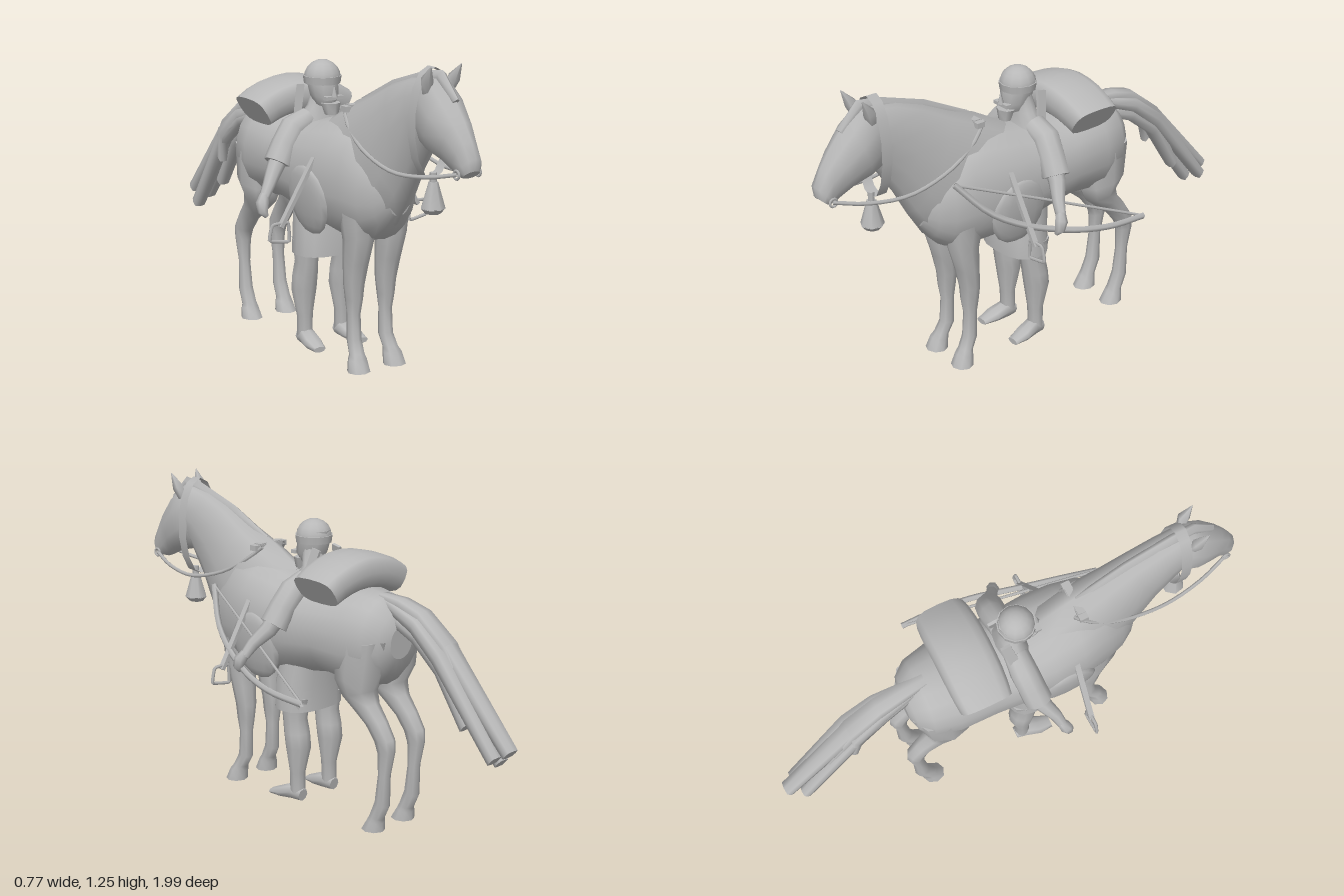
import * as THREE from 'three';

const grey = new THREE.MeshStandardMaterial({ color: 0xb8b8b8, side: THREE.DoubleSide });
grey.name = 'plain grey';
const V = (x, y, z) => new THREE.Vector3(x, y, z);
const bend = (q, p) => Math.sign(q) * Math.abs(q) ** p;

// Closed skin through rings given as { c, u, v } (centre and two half axes); power < 1 squares the ring
function skin(rings, sides, power = 1) {
  const pos = [], idx = [], n = rings.length;
  rings.forEach((r, i) => {
    const dir = rings[Math.min(i + 1, n - 1)].c.clone().sub(rings[Math.max(i - 1, 0)].c);
    const s = r.u.clone().cross(r.v).dot(dir) < 0 ? -1 : 1;
    for (let j = 0; j < sides; j++) {
      const t = (j / sides) * Math.PI * 2;
      const p = r.c.clone().addScaledVector(r.u, bend(Math.cos(t), power))
        .addScaledVector(r.v, s * bend(Math.sin(t), power));
      pos.push(p.x, p.y, p.z);
    }
  });
  for (let i = 0; i < n - 1; i++) for (let j = 0; j < sides; j++) {
    const a = i * sides + j, b = i * sides + (j + 1) % sides;
    idx.push(a, b, a + sides, b, b + sides, a + sides);
  }
  // End caps with their own corners
  [0, n - 1].forEach((k) => {
    const base = pos.length / 3;
    pos.push(...pos.slice(k * sides * 3, (k + 1) * sides * 3));
    for (let j = 1; j < sides - 1; j++) {
      if (k) idx.push(base, base + j, base + j + 1);
      else idx.push(base, base + j + 1, base + j);
    }
  });
  const g = new THREE.BufferGeometry();
  g.setAttribute('position', new THREE.Float32BufferAttribute(pos, 3));
  g.setIndex(idx);
  g.computeVertexNormals();
  return g;
}

// Rings given by two opposite side points: [x, z1, y1, z2, y2, halfWidth]
const profile = (list, sides = 12, power = 1) => skin(list.map(([x, z1, y1, z2, y2, w]) => ({
  c: V(x, (y1 + y2) / 2, (z1 + z2) / 2),
  u: V(0, (y1 - y2) / 2, (z1 - z2) / 2),
  v: V(w, 0, 0),
})), sides, power);

// Round limb through [x, y, z, radius]
const limb = (list, sides = 8) => skin(list.map(([x, y, z, r], i) => {
  const a = list[Math.max(i - 1, 0)], b = list[Math.min(i + 1, list.length - 1)];
  const t = V(b[0] - a[0], b[1] - a[1], b[2] - a[2]).normalize();
  const u = V(0, 0, 1).cross(t).normalize();
  return { c: V(x, y, z), u: u.clone().multiplyScalar(r), v: t.cross(u).multiplyScalar(r) };
}), sides);

const tube = (pts, r, seg = 14, closed = false, tension = 0.5) => new THREE.TubeGeometry(
  new THREE.CatmullRomCurve3(pts.map((p) => V(...p)), closed, 'catmullrom', tension), seg, r, 5, closed);

export function createModel() {
  const model = new THREE.Group();
  const add = (name, geo, x = 0, y = 0, z = 0, rx = 0, ry = 0, rz = 0) => {
    const m = new THREE.Mesh(geo, grey);
    m.name = name;
    m.position.set(x, y, z);
    m.rotation.set(rx, ry, rz);
    model.add(m);
    return m;
  };

  // Horse trunk, rump to chest
  add('horseBody', profile([
    [0, -0.442, 0.82, -0.437, 0.69, 0.06], [0, -0.425, 0.875, -0.415, 0.625, 0.115],
    [0, -0.37, 0.925, -0.37, 0.575, 0.158], [0, -0.27, 0.94, -0.27, 0.555, 0.183],
    [0, -0.12, 0.92, -0.12, 0.575, 0.185], [0, 0.0, 0.92, 0.0, 0.555, 0.19],
    [0, 0.14, 0.95, 0.14, 0.525, 0.197], [0, 0.27, 0.97, 0.27, 0.508, 0.188],
    [0, 0.38, 0.97, 0.38, 0.508, 0.165], [0, 0.46, 0.9, 0.46, 0.53, 0.137],
    [0, 0.525, 0.84, 0.51, 0.58, 0.1], [0, 0.565, 0.78, 0.55, 0.64, 0.05]], 18, 0.92));
  add('horseNeck', profile([
    [0, 0.12, 0.95, 0.42, 0.55, 0.14], [0, 0.27, 1.035, 0.53, 0.6, 0.125],
    [0, 0.4, 1.09, 0.6, 0.71, 0.105], [0, 0.52, 1.15, 0.66, 0.82, 0.088],
    [0, 0.64, 1.19, 0.72, 0.91, 0.077], [0, 0.76, 1.21, 0.75, 0.96, 0.07]]));
  add('horseHead', profile([
    [0, 0.7, 1.2, 0.69, 1.03, 0.05], [0, 0.79, 1.21, 0.71, 0.95, 0.08],
    [0, 0.86, 1.15, 0.765, 0.925, 0.085], [0, 0.93, 1.065, 0.84, 0.905, 0.066],
    [0, 0.97, 1.005, 0.89, 0.88, 0.049], [0, 0.998, 0.945, 0.93, 0.865, 0.047],
    [0, 0.992, 0.9, 0.955, 0.867, 0.035]], 10));
  add('mane', profile([
    [0, 0.3, 1.05, 0.33, 1.0, 0.015], [0, 0.5, 1.15, 0.53, 1.1, 0.02],
    [0, 0.7, 1.215, 0.7, 1.15, 0.022], [0, 0.8, 1.23, 0.78, 1.17, 0.022],
    [0, 0.89, 1.14, 0.86, 1.11, 0.014]], 6));

  for (const s of [1, -1]) {
    // Ears
    add('ear', limb([[s * 0.05, 1.15, 0.77, 0.018], [s * 0.06, 1.195, 0.785, 0.025],
      [s * 0.068, 1.25, 0.82, 0.002]], 5));
    // Front legs
    const x = s * 0.075;
    add('frontLeg', profile([
      [s * 0.08, 0.47, 0.66, 0.3, 0.66, 0.07], [x, 0.46, 0.54, 0.325, 0.52, 0.06],
      [x, 0.425, 0.43, 0.325, 0.42, 0.052], [x, 0.405, 0.34, 0.32, 0.34, 0.042],
      [x, 0.402, 0.28, 0.325, 0.28, 0.034], [x, 0.39, 0.22, 0.335, 0.22, 0.027],
      [x, 0.398, 0.12, 0.335, 0.11, 0.028], [s * 0.08, 0.42, 0.07, 0.365, 0.06, 0.032],
      [s * 0.083, 0.435, 0.05, 0.367, 0.04, 0.04], [s * 0.085, 0.458, 0, 0.37, 0, 0.047]], 8));
    // Hind legs
    const h = s * 0.085;
    add('hindLeg', profile([
      [s * 0.085, -0.19, 0.74, -0.435, 0.77, 0.085], [s * 0.09, -0.2, 0.59, -0.41, 0.63, 0.085],
      [h, -0.235, 0.525, -0.375, 0.565, 0.068], [h, -0.295, 0.475, -0.39, 0.515, 0.05],
      [h, -0.35, 0.43, -0.44, 0.455, 0.04], [h, -0.393, 0.375, -0.482, 0.39, 0.036],
      [h, -0.41, 0.33, -0.485, 0.34, 0.032], [h, -0.413, 0.24, -0.463, 0.24, 0.025],
      [h, -0.398, 0.13, -0.46, 0.11, 0.029], [h, -0.375, 0.07, -0.43, 0.05, 0.032],
      [h, -0.365, 0.05, -0.43, 0.035, 0.038], [h, -0.333, 0, -0.43, 0, 0.045]], 8));
    // Reins
    add('rein', tube([[s * 0.045, 0.885, 0.95], [s * 0.085, 0.855, 0.82], [s * 0.11, 0.845, 0.65],
      [s * 0.11, 0.89, 0.47], [s * 0.09, 0.96, 0.34], [s * 0.06, 1.02, 0.27]], 0.008, 16));
    add('bitRing', new THREE.TorusGeometry(0.016, 0.005, 5, 10), s * 0.048, 0.885, 0.95, 0, Math.PI / 2, 0);
    // Saddle flaps
    const flap = add('saddleFlap', new THREE.SphereGeometry(1, 12, 8), s * 0.172, 0.65, 0.19, 0, 0, s * -0.15);
    flap.scale.set(0.028, 0.14, 0.13);
    // Stirrups on slanted straps
    add('stirrupStrap', new THREE.BoxGeometry(0.016, 0.3, 0.022), s * 0.245, 0.7, 0.23, 0, 0, s * 0.55);
    add('stirrup', tube([[s * 0.29, 0.585, 0.23], [s * 0.36, 0.585, 0.23], [s * 0.373, 0.525, 0.23],
      [s * 0.285, 0.51, 0.23]], 0.007, 32, true, 0.12));

    // Rider arms, sleeves and hands
    add('sleeve', limb([[s * 0.06, 0.925, 0.02, 0.05], [s * 0.13, 0.895, 0.02, 0.056],
      [s * 0.175, 0.835, 0.03, 0.056], [s * 0.215, 0.77, 0.04, 0.057]], 10));
    add('forearm', limb([[s * 0.18, 0.83, 0.03, 0.04], [s * 0.235, 0.755, 0.05, 0.034],
      [s * 0.285, 0.7, 0.085, 0.025], [s * 0.318, 0.655, 0.1, 0.02]]));
    add('hand', limb([[s * 0.31, 0.67, 0.095, 0.018], [s * 0.33, 0.64, 0.11, 0.026],
      [s * 0.333, 0.61, 0.12, 0.021], [s * 0.32, 0.59, 0.125, 0.009]], 7));
    // Rider legs and feet
    const l = s * 0.09;
    add('riderLeg', profile([
      [l, 0.12, 0.45, -0.02, 0.45, 0.055], [l, 0.105, 0.36, 0.0, 0.36, 0.047],
      [l, 0.095, 0.3, -0.012, 0.3, 0.053], [l, 0.085, 0.24, -0.018, 0.24, 0.053],
      [l, 0.07, 0.13, 0.008, 0.13, 0.034], [l, 0.07, 0.04, 0.008, 0.04, 0.032]], 10));
    add('foot', profile([
      [l, 0.005, 0.06, 0.012, 0.008, 0.025], [l, 0.05, 0.08, 0.05, 0.006, 0.036],
      [s * 0.098, 0.11, 0.055, 0.11, 0.006, 0.042], [s * 0.103, 0.168, 0.03, 0.168, 0.006, 0.028]], 8));
  }

  // Tail: overlapping board-like locks, each with x, half width, lift, end z and end y
  [[-0.01, 0.042, 0.0, -0.8, 0.61], [-0.035, 0.03, -0.045, -0.93, 0.4],
    [0.03, 0.032, -0.025, -0.95, 0.43], [-0.01, 0.036, 0.0, -0.99, 0.455],
    [0.015, 0.03, -0.07, -0.8, 0.52], [-0.045, 0.022, -0.03, -0.7, 0.65]].forEach(([x, w, d, ez, ey]) => {
    add('tailLock', profile([
      [0, -0.34, 0.935 + d * 0.4, -0.345, 0.905 + d * 0.4, 0.025],
      [x / 2, -0.445, 0.93 + d, -0.435, 0.88 + d, w * 0.85],
      [x * 0.8, -0.55, 0.9 + d, -0.525, 0.845 + d, w],
      [x, -0.68, 0.8 + d, -0.645, 0.75 + d, w + 0.004],
      [x, ez, ey, ez + 0.03, ey - 0.035, w * 0.9]], 8, 0.5));
  });

  // Bedroll arched over the rump
  const roll = [];
  for (let i = 0; i <= 8; i++) {
    const a = (i / 8 - 0.5) * 1.13, d = V(Math.sin(a), Math.cos(a), 0);
    const k = Math.abs(i - 4) / 4;
    roll.push({ c: V(0, 0.635, -0.172).addScaledVector(d, 0.362),
      u: d.clone().multiplyScalar(0.073 - 0.008 * k), v: V(0, 0, 0.115 - 0.01 * k ** 3) });
  }
  add('bedroll', skin(roll, 16, 0.65));

  // Bridle band round the head, with a hanging tassel
  const band = add('bridleBand', new THREE.CylinderGeometry(1, 1, 0.045, 14, 1, true), 0, 1.03, 0.735, Math.PI / 2, 0, 0);
  band.scale.set(0.088, 1, 0.205);
  add('tasselCord', new THREE.CylinderGeometry(0.014, 0.014, 0.06, 6), 0, 0.82, 0.755);
  add('tassel', new THREE.CylinderGeometry(0.018, 0.047, 0.1, 7), 0, 0.765, 0.755);
  add('tasselTip', new THREE.CylinderGeometry(0.047, 0.03, 0.02, 7), 0, 0.707, 0.755);

  // Saddle pommel
  add('pommelBar', new THREE.BoxGeometry(0.17, 0.022, 0.035), 0, 1.015, 0.3);
  add('pommelPost', new THREE.BoxGeometry(0.12, 0.1, 0.03), 0, 0.98, 0.3);

  // Rider trunk and knee-length skirt
  add('riderTorso', profile([
    [0, 0.13, 0.58, -0.04, 0.58, 0.13], [0, 0.1, 0.72, -0.03, 0.72, 0.125],
    [0, 0.1, 0.85, -0.035, 0.85, 0.13], [0, 0.085, 0.93, -0.035, 0.93, 0.11],
    [0, 0.07, 0.98, -0.02, 0.98, 0.06], [0, 0.075, 1.05, 0.0, 1.05, 0.045]]));
  add('riderSkirt', profile([
    [0, 0.168, 0.395, -0.03, 0.395, 0.15], [0, 0.165, 0.5, -0.03, 0.5, 0.145],
    [0, 0.14, 0.62, -0.04, 0.62, 0.13]], 16, 0.8));
  // Rider head, beard, neck scarf and cap
  add('riderHead', profile([
    [-0.01, 0.1, 0.98, 0.01, 1.0, 0.035], [-0.01, 0.125, 1.02, -0.01, 1.03, 0.055],
    [-0.01, 0.115, 1.08, -0.025, 1.08, 0.062], [-0.01, 0.11, 1.12, -0.025, 1.12, 0.06]], 10));
  add('beard', profile([
    [-0.01, 0.14, 1.0, 0.07, 1.0, 0.042], [-0.01, 0.135, 0.955, 0.085, 0.955, 0.028]], 7));
  add('nose', new THREE.ConeGeometry(0.014, 0.05, 5), -0.01, 1.05, 0.13);
  add('moustache', new THREE.BoxGeometry(0.08, 0.014, 0.025), -0.01, 1.022, 0.122);
  add('cap', new THREE.SphereGeometry(0.073, 12, 5, 0, Math.PI * 2, 0, Math.PI / 2), -0.01, 1.09, 0.045);
  add('capBand', new THREE.CylinderGeometry(0.076, 0.072, 0.03, 12), -0.01, 1.085, 0.045);
  for (const s of [1, -1]) {
    add('hoodFlap', new THREE.BoxGeometry(0.012, 0.12, 0.04), s * 0.07 - 0.01, 1.0, -0.015, -0.2, 0, s * 0.25);
  }

  // Bow and string in the left hand
  const a = [0.14, 0.84, 0.475], b = [0.375, 0.557, -0.28];
  add('bow', tube([a, [0.215, 0.72, 0.37], [0.27, 0.65, 0.25], [0.315, 0.61, 0.13],
    [0.35, 0.585, 0.02], [0.372, 0.565, -0.12], b], 0.013, 18));
  add('bowString', tube([a, [0.257, 0.7, 0.097], b], 0.006, 4));

  return model;
}
